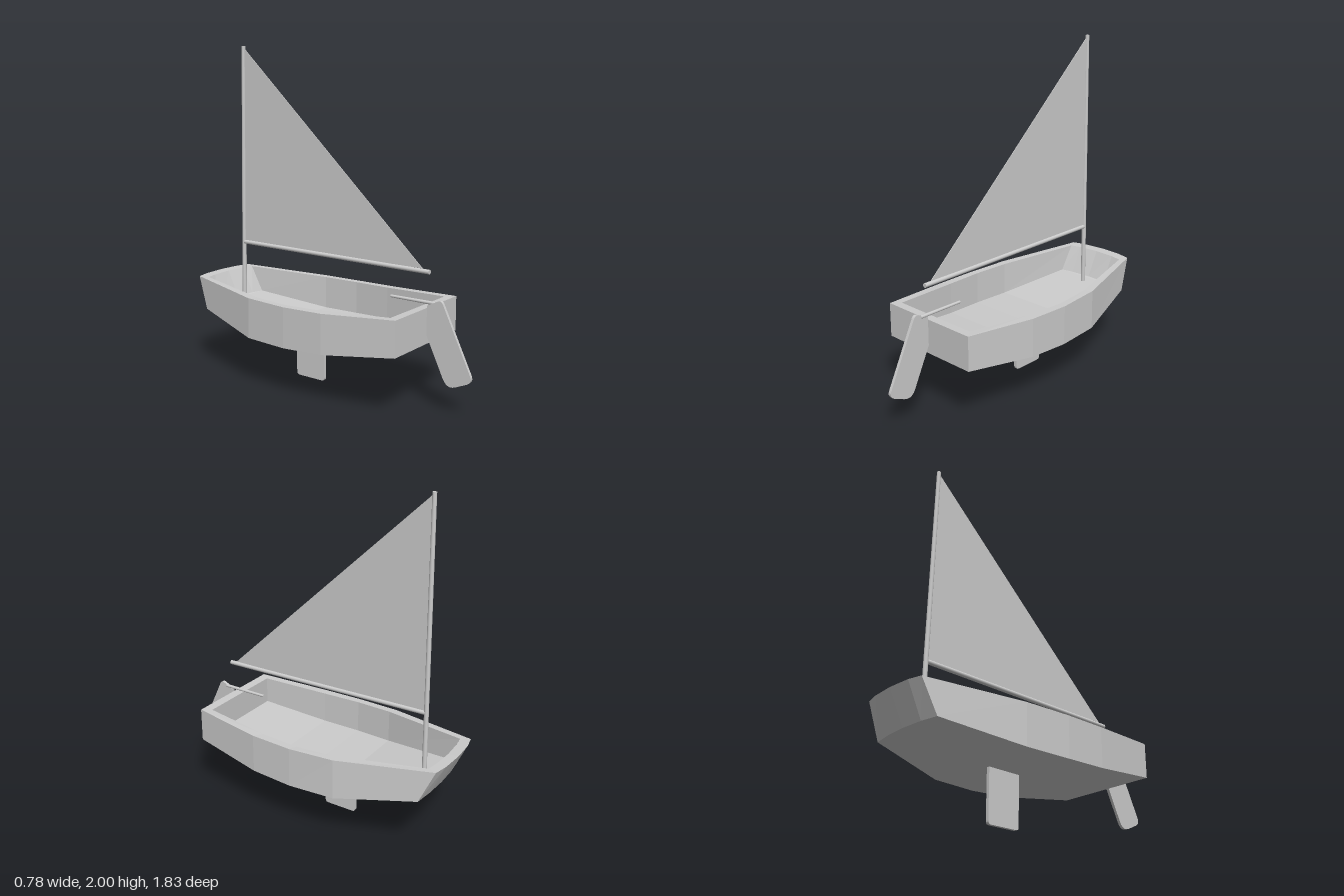
import * as THREE from 'three';

const material = new THREE.MeshStandardMaterial({ color: 0xcccccc, flatShading: true, side: THREE.DoubleSide });
const smooth = new THREE.MeshStandardMaterial({ color: 0xcccccc });

function add(group, name, geometry, mat = material) {
  const mesh = new THREE.Mesh(geometry, mat);
  mesh.name = name;
  group.add(mesh);
  return mesh;
}

// Half outline from stern to bow centre, mirrored into a closed loop
function loop(half) {
  const mirrored = half.slice(0, -1).reverse().map(([x, y, z]) => [-x, y, z]);
  return [...half, ...mirrored];
}

function hullGeometry() {
  const outerBottom = loop([[0.32, 0.37, 0.64], [0.38, 0.317, 0.2], [0.39, 0.307, -0.06],
    [0.372, 0.31, -0.34], [0.25, 0.383, -0.805], [0.14, 0.386, -0.82], [0, 0.387, -0.826]]);
  const outerTop = loop([[0.32, 0.573, 0.64], [0.38, 0.549, 0.2], [0.39, 0.545, -0.06],
    [0.37, 0.549, -0.34], [0.225, 0.576, -0.89], [0.14, 0.578, -0.909], [0, 0.579, -0.917]]);
  const innerTop = loop([[0.28, 0.57, 0.585], [0.33, 0.549, 0.16], [0.344, 0.545, -0.08],
    [0.326, 0.549, -0.31], [0.2, 0.573, -0.835], [0.13, 0.575, -0.848], [0, 0.576, -0.856]]);
  const floor = loop([[0.28, 0.405, 0.585], [0.33, 0.356, 0.16], [0.344, 0.347, -0.08],
    [0.326, 0.35, -0.31], [0.215, 0.415, -0.762], [0.13, 0.418, -0.77], [0, 0.419, -0.776]]);
  const n = floor.length;
  const positions = [];
  const quad = (a, b, c, d) => positions.push(...a, ...b, ...c, ...a, ...c, ...d);
  const bridge = (A, B) => A.forEach((_, i) => {
    const j = (i + 1) % n;
    quad(A[i], A[j], B[j], B[i]);
  });
  bridge(outerBottom, outerTop);
  bridge(outerTop, innerTop);
  bridge(innerTop, floor);
  // Floor and underside, in strips across the beam
  for (let i = 0; i < (n - 1) / 2; i++) {
    const k = n - 1 - i;
    quad(floor[i], floor[i + 1], floor[k - 1], floor[k]);
    quad(outerBottom[k], outerBottom[k - 1], outerBottom[i + 1], outerBottom[i]);
  }
  const geometry = new THREE.BufferGeometry();
  geometry.setAttribute('position', new THREE.Float32BufferAttribute(positions, 3));
  geometry.computeVertexNormals();
  return geometry;
}

// Round bar between two points
function spar(group, name, from, to, r0, r1) {
  const a = new THREE.Vector3(...from), b = new THREE.Vector3(...to);
  const dir = b.clone().sub(a);
  const mesh = add(group, name, new THREE.CylinderGeometry(r1, r0, dir.length(), 16), smooth);
  mesh.position.copy(a).add(b).multiplyScalar(0.5);
  mesh.quaternion.setFromUnitVectors(new THREE.Vector3(0, 1, 0), dir.normalize());
}

// Flat plate from [z, y, corner radius] points, centred on x = 0
function plate(points, thickness) {
  const shape = new THREE.Shape();
  points.forEach(([z, y, r], i) => {
    const p = new THREE.Vector2(-z, y);
    const toward = ([qz, qy]) => new THREE.Vector2(-qz, qy).sub(p).setLength(r).add(p);
    const start = toward(points.at(i - 1));
    const end = toward(points[(i + 1) % points.length]);
    if (i) shape.lineTo(start.x, start.y); else shape.moveTo(start.x, start.y);
    if (r) shape.quadraticCurveTo(p.x, p.y, end.x, end.y);
  });
  shape.closePath();
  return new THREE.ExtrudeGeometry(shape, { depth: thickness, bevelEnabled: false, curveSegments: 5 })
    .translate(0, 0, -thickness / 2).rotateY(Math.PI / 2);
}

export function createModel() {
  const boat = new THREE.Group();
  boat.name = 'sailingDinghy';

  add(boat, 'hull', hullGeometry());

  // Rig
  spar(boat, 'mast', [0, 0.4, -0.717], [0, 2, -0.692], 0.014, 0.012);
  spar(boat, 'boom', [0, 0.785, -0.705], [0, 0.772, 0.65], 0.013, 0.013);
  add(boat, 'sail', plate([[-0.69, 1.99, 0], [-0.705, 0.787, 0], [0.605, 0.787, 0]], 0.004));

  // Foils and steering
  add(boat, 'daggerboard', plate([[-0.065, 0.34, 0], [-0.275, 0.34, 0],
    [-0.275, 0.003, 0.02], [-0.065, 0.003, 0.02]], 0.02));
  add(boat, 'rudder', plate([[0.73, 0.63, 0.025], [0.642, 0.587, 0], [0.642, 0.42, 0],
    [0.775, 0.14, 0.06], [0.93, 0.21, 0.04]], 0.018));
  spar(boat, 'tiller', [0.004, 0.602, 0.69], [0.004, 0.602, 0.4], 0.01, 0.008);
  return boat;
}
